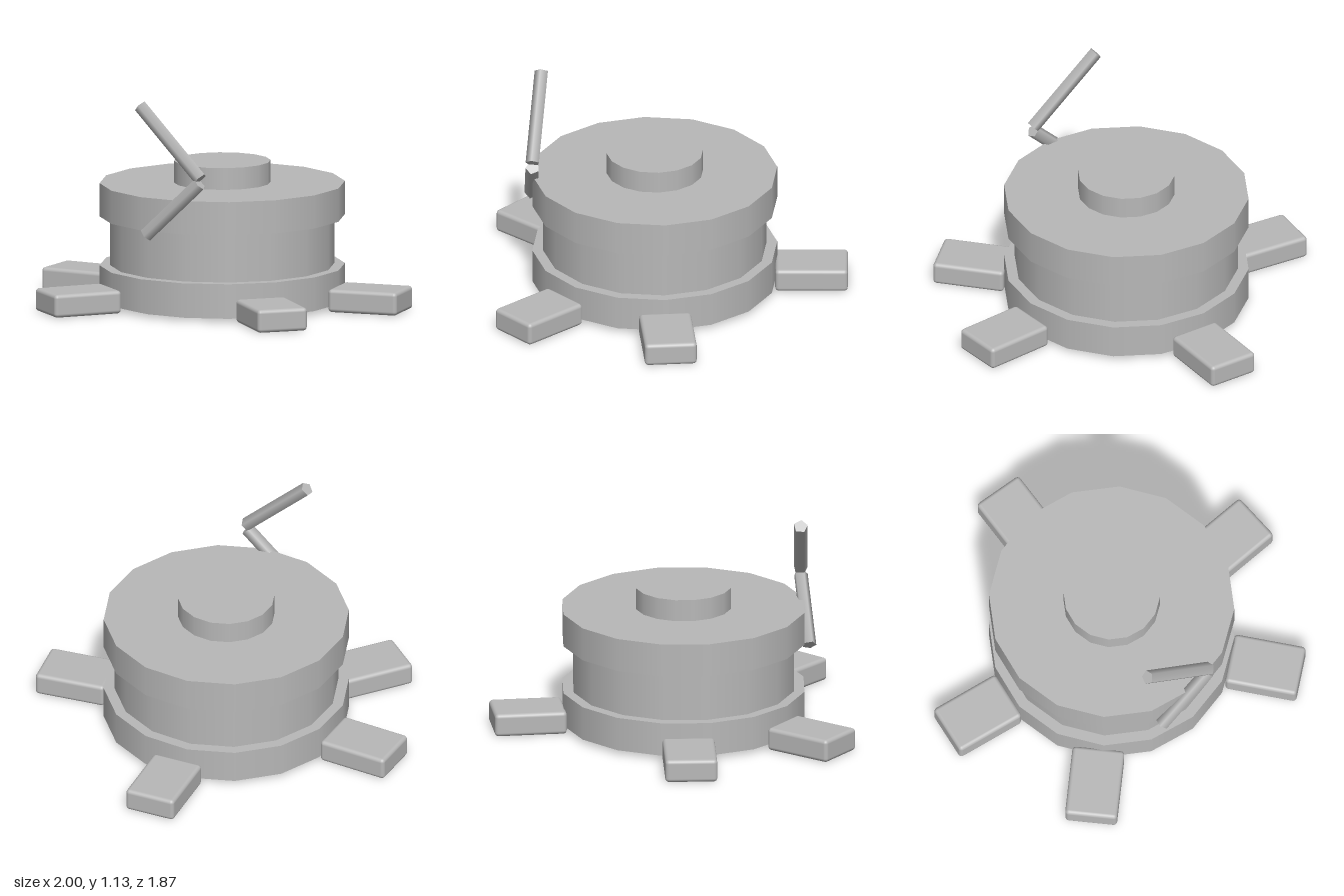
import * as THREE from 'three';
import { RoundedBoxGeometry } from 'three/addons/geometries/RoundedBoxGeometry.js';

const CENTER_Z = 0.065;

export function createModel() {
  const model = new THREE.Group();
  model.name = 'crankedDrum';
  const grey = new THREE.MeshStandardMaterial({ color: 0xb8b8b8 });
  grey.name = 'plain grey';

  const add = (name, geometry) => {
    const mesh = new THREE.Mesh(geometry, grey);
    mesh.name = name;
    model.add(mesh);
    return mesh;
  };

  // Stacked sixteen-sided drum: core, two rims and a top knob
  const disc = (name, radius, y0, y1) =>
    add(name, new THREE.CylinderGeometry(radius, radius, y1 - y0, 16))
      .position.set(0, (y0 + y1) / 2, CENTER_Z);
  disc('drumCore', 0.58, 0.008, 0.5);
  disc('lowerRim', 0.635, 0.022, 0.198);
  disc('upperRim', 0.635, 0.454, 0.628);
  disc('topKnob', 0.25, 0.6, 0.742);

  // Rounded feet spread around the base
  const footGeometry = new RoundedBoxGeometry(0.375, 0.12, 0.27, 3, 0.02);
  [0, 85, 170, 222.5, 307.5].forEach((degrees, i) => {
    const a = THREE.MathUtils.degToRad(degrees);
    const foot = add(`foot${i + 1}`, footGeometry);
    foot.position.set(0.81 * Math.cos(a), 0.06, CENTER_Z - 0.81 * Math.sin(a));
    foot.rotation.y = a;
  });

  // Bent crank on the front: a rod between two points
  const rod = (name, from, to) => {
    const a = new THREE.Vector3(...from), b = new THREE.Vector3(...to);
    const dir = b.clone().sub(a);
    const mesh = add(name, new THREE.CylinderGeometry(0.037, 0.037, dir.length(), 5));
    mesh.position.copy(a).add(b).multiplyScalar(0.5);
    mesh.quaternion.setFromUnitVectors(new THREE.Vector3(0, 1, 0), dir.normalize());
  };
  rod('crankLowerArm', [-0.2, 0.437, 0.687], [0.1, 0.725, 0.707]);
  rod('crankUpperArm', [0.104, 0.752, 0.707], [-0.25, 1.103, 0.63]);

  return model;
}
